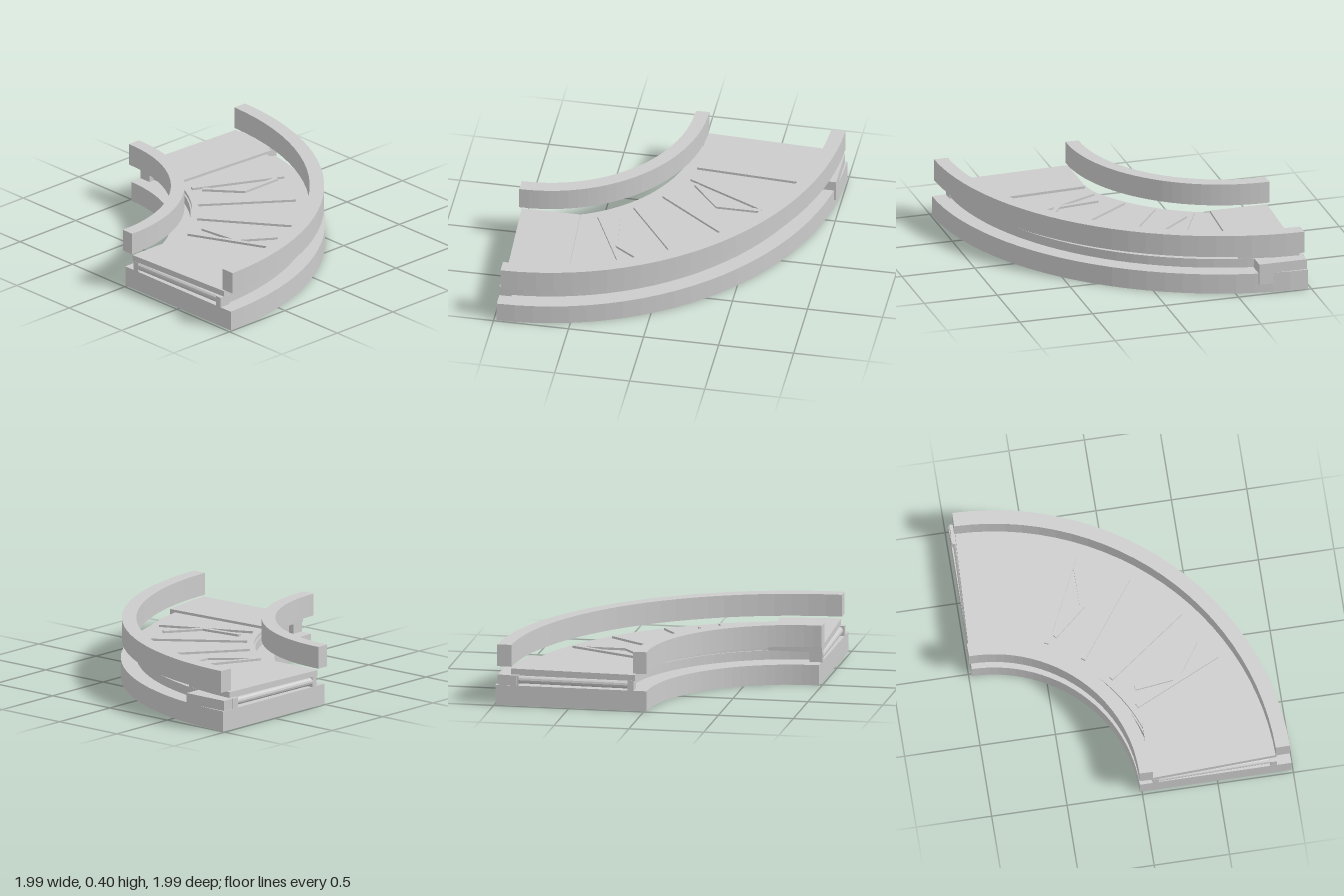
import * as THREE from 'three';

const CENTRE = -0.98; // x and z of the bend's centre
const SEGMENTS = 26;
const material = new THREE.MeshStandardMaterial({ color: 0xcccccc, flatShading: true });

// Prism from a plan outline of [x, z] points between two heights
function prism(name, points, y0, y1) {
  const shape = new THREE.Shape(points.map(([x, z]) => new THREE.Vector2(x, z)));
  const geometry = new THREE.ExtrudeGeometry(shape, { depth: y1 - y0, bevelEnabled: false });
  geometry.rotateX(Math.PI / 2).translate(0, y1, 0);
  const mesh = new THREE.Mesh(geometry, material);
  mesh.name = name;
  return mesh;
}

// Curved strip around the bend; angles in degrees from the +x end
function bend(name, r0, r1, a0, a1, y0, y1) {
  const points = [];
  const add = (r, t) => {
    const a = THREE.MathUtils.degToRad(a0 + (a1 - a0) * t);
    points.push([CENTRE + r * Math.cos(a), CENTRE + r * Math.sin(a)]);
  };
  for (let i = 0; i <= SEGMENTS; i++) add(r1, i / SEGMENTS);
  for (let i = SEGMENTS; i >= 0; i--) add(r0, i / SEGMENTS);
  return prism(name, points, y0, y1);
}

// Flat slat of constant width following a path of two or three points
function slat(name, path, y0, y1, width = 0.03) {
  const pts = path.map(([x, z]) => new THREE.Vector2(x, z));
  const dirs = pts.slice(1).map((p, i) => p.clone().sub(pts[i]).normalize());
  const left = [], right = [];
  pts.forEach((p, i) => {
    const d0 = dirs[Math.max(i - 1, 0)], d1 = dirs[Math.min(i, dirs.length - 1)];
    const n = new THREE.Vector2(-d0.y - d1.y, d0.x + d1.x).normalize();
    const h = width / 2 / (-n.x * d0.y + n.y * d0.x);
    left.push([p.x + n.x * h, p.y + n.y * h]);
    right.unshift([p.x - n.x * h, p.y - n.y * h]);
  });
  return prism(name, [...left, ...right], y0, y1);
}

// Round bar between two plan points
function roller(name, [x0, z0], [x1, z1], y, radius) {
  const a = new THREE.Vector3(x0, y, z0), b = new THREE.Vector3(x1, y, z1);
  const mesh = new THREE.Mesh(new THREE.CylinderGeometry(radius, radius, a.distanceTo(b), 12), material);
  mesh.name = name;
  mesh.position.copy(a).lerp(b, 0.5);
  mesh.quaternion.setFromUnitVectors(new THREE.Vector3(0, 1, 0), b.sub(a).normalize());
  return mesh;
}

const swap = ([x, z]) => [z, x];

export function createModel() {
  const group = new THREE.Group();
  group.name = 'curvedConveyor';

  // Base slab and side rails
  group.add(
    bend('base', 0.965, 1.972, 0, 90, 0, 0.135),
    bend('innerRail', 0.96, 1.05, -1.1, 91.1, 0.255, 0.402),
    bend('outerRail', 1.87, 1.965, 0.7, 89.3, 0.255, 0.402)
  );

  // Belt bed and belt
  group.add(
    bend('beltBed', 1.09, 1.87, 1.5, 88.5, 0.142, 0.203),
    bend('belt', 1.1, 1.83, 10, 80, 0.203, 0.225)
  );

  // Slats on the belt, repeated on its underside
  const slats = [
    [[0.05, -0.475], [0.62, -0.2]],
    [[0.09, -0.415], [0.27, -0.205], [0.56, -0.205]],
    [[-0.095, -0.255], [0.42, 0.125]],
    [[-0.255, -0.095], [0.125, 0.42]],
    [[-0.47, 0.045], [-0.2, 0.62]],
    [[-0.345, 0.05], [-0.31, 0.335], [-0.085, 0.49]]
  ];
  for (const path of slats) {
    group.add(slat('topSlat', path, 0.22, 0.24), slat('underSlat', path, 0.133, 0.146));
  }

  // Both ends, mirrored across the diagonal of the bend
  for (const [side, map] of [['left', (p) => p], ['front', swap]]) {
    const end = new THREE.Group();
    end.name = side + 'End';
    const plate = [[0.06, -0.985], [0.895, -0.95], [0.885, -0.8], [0.84, -0.55], [0.06, -0.595]];
    const outerBracket = [[0.85, -0.98], [0.895, -0.98], [0.895, -0.9], [0.85, -0.9]];
    const innerBracket = [[0.07, -0.985], [0.11, -0.985], [0.11, -0.9], [0.07, -0.9]];
    end.add(
      prism('coverPlate', plate.map(map), 0.203, 0.242),
      prism('outerBracket', outerBracket.map(map), 0.135, 0.203),
      prism('innerBracket', innerBracket.map(map), 0.135, 0.203),
      roller('endRoller', map([0.1, -0.96]), map([0.86, -0.945]), 0.17, 0.026)
    );
    group.add(end);
  }

  // Drive box on the outer side of the left end
  const drive = [[0.84, -0.975], [0.978, -0.975], [0.978, -0.65], [0.84, -0.65]];
  group.add(prism('driveBox', drive, 0.06, 0.203));

  return group;
}
